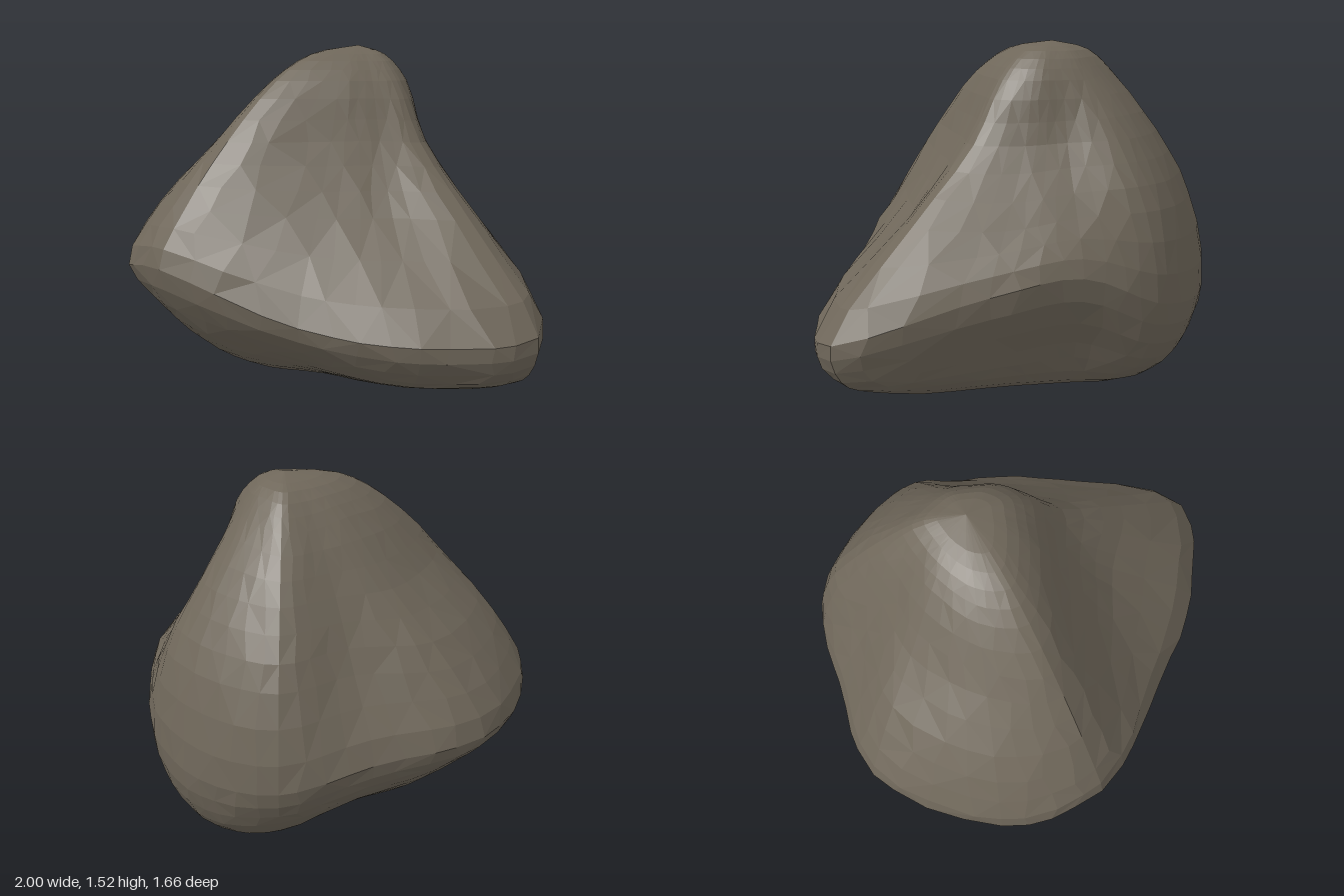
import * as THREE from 'three';

// Vertical ribs round the boulder's axis, at these angles in degrees (from +x towards +z).
const ANGLES = [18, 42, 70, 105, 130, 165, 195, 225, 255, 285, 318, 350];
// Radius, height pairs of each rib, from the underside up to the shoulder.
const RIBS = [
  [0.98, 0.17, 1.11, 0.24, 1.155, 0.4, 0.76, 0.81, 0.44, 1.11, 0.28, 1.37],
  [0.78, 0.15, 0.96, 0.22, 1.04, 0.38, 0.62, 0.82, 0.4, 1.12, 0.27, 1.37],
  [0.66, 0.18, 0.82, 0.27, 0.93, 0.43, 0.66, 0.82, 0.45, 1.12, 0.31, 1.37],
  [0.7, 0.19, 0.92, 0.36, 1.06, 0.62, 0.93, 0.86, 0.72, 1.12, 0.46, 1.37],
  [0.7, 0.28, 0.9, 0.41, 1.05, 0.57, 0.91, 0.84, 0.62, 1.13, 0.39, 1.37],
  [0.6, 0.26, 0.82, 0.44, 0.93, 0.58, 0.77, 0.84, 0.5, 1.12, 0.29, 1.38],
  [0.5, 0.24, 0.66, 0.38, 0.73, 0.54, 0.57, 0.86, 0.42, 1.13, 0.27, 1.36],
  [0.5, 0.15, 0.64, 0.28, 0.72, 0.46, 0.64, 0.85, 0.48, 1.13, 0.3, 1.36],
  [0.45, 0.08, 0.58, 0.2, 0.65, 0.43, 0.57, 0.84, 0.42, 1.13, 0.23, 1.38],
  [0.42, 0.1, 0.54, 0.22, 0.615, 0.48, 0.54, 0.85, 0.38, 1.13, 0.21, 1.37],
  [0.38, 0.12, 0.48, 0.32, 0.59, 0.62, 0.47, 0.84, 0.29, 1.12, 0.2, 1.37],
  [0.5, 0.14, 0.62, 0.3, 0.73, 0.57, 0.56, 0.8, 0.33, 1.11, 0.24, 1.37],
];
const AXIS_X = -0.1, AXIS_Z = -0.2, PEAK = 1.525;
const ROWS = 27, COLS_PER_RIB = 4, COLS = RIBS.length * COLS_PER_RIB;

// Turns one rib into a smooth curve from the bottom pole to the peak.
function ribCurve(profile, ribNumber) {
  const angle = THREE.MathUtils.degToRad(ANGLES[ribNumber]);
  const at = (r, y) => new THREE.Vector3(AXIS_X + r * Math.cos(angle), y, AXIS_Z + r * Math.sin(angle));
  const points = [at(0, 0), at(profile[0] * 0.5, profile[1] * 0.4)];
  for (let i = 0; i < profile.length; i += 2) points.push(at(profile[i], profile[i + 1]));
  points.push(at(profile[10] * 0.55, 1.485), at(0, PEAK));
  return new THREE.CatmullRomCurve3(points);
}

// Repeatable jitter in -1..1 for the chipped facets.
function jitter(n) {
  const s = Math.sin(n * 12.9898) * 43758.5453;
  return (s - Math.floor(s)) * 2 - 1;
}

function boulderGeometry() {
  const ribs = RIBS.map(ribCurve);
  const positions = [], index = [];
  for (let i = 0; i <= ROWS; i++) {
    const pole = i === 0 || i === ROWS;
    const ring = ribs.map((rib) => rib.getPoint(i / ROWS));
    const loop = new THREE.CatmullRomCurve3(ring, true);
    for (let j = 0; j < COLS; j++) {
      // between the ribs, uneven spacing and small bumps give irregular facets
      const loose = j % COLS_PER_RIB ? 1 : 0;
      const slide = loose * 0.25 * jitter(i * COLS + j);
      const bump = 1 + loose * 0.006 * jitter(i * 131 + j * 17 + 5);
      const p = pole ? ring[0] : loop.getPoint((j + slide) / COLS);
      positions.push(AXIS_X + (p.x - AXIS_X) * bump, p.y, AXIS_Z + (p.z - AXIS_Z) * bump);
      if (i === ROWS) continue;
      const a = i * COLS + j, b = i * COLS + (j + 1) % COLS, c = a + COLS, d = b + COLS;
      if (i === 0) index.push(a, c, d);
      else if (i === ROWS - 1) index.push(a, c, b);
      else if ((i + j) % 2) index.push(a, c, b, b, c, d);
      else index.push(a, c, d, a, d, b);
    }
  }
  const geometry = new THREE.BufferGeometry();
  geometry.setAttribute('position', new THREE.Float32BufferAttribute(positions, 3));
  geometry.setIndex(index);
  geometry.computeVertexNormals();
  return geometry;
}

export function createModel() {
  const group = new THREE.Group();
  group.name = 'rock';
  const boulder = new THREE.Mesh(
    boulderGeometry(),
    new THREE.MeshStandardMaterial({ color: 0x6f675a, flatShading: true }));
  boulder.name = 'boulder';
  group.add(boulder);
  return group;
}
